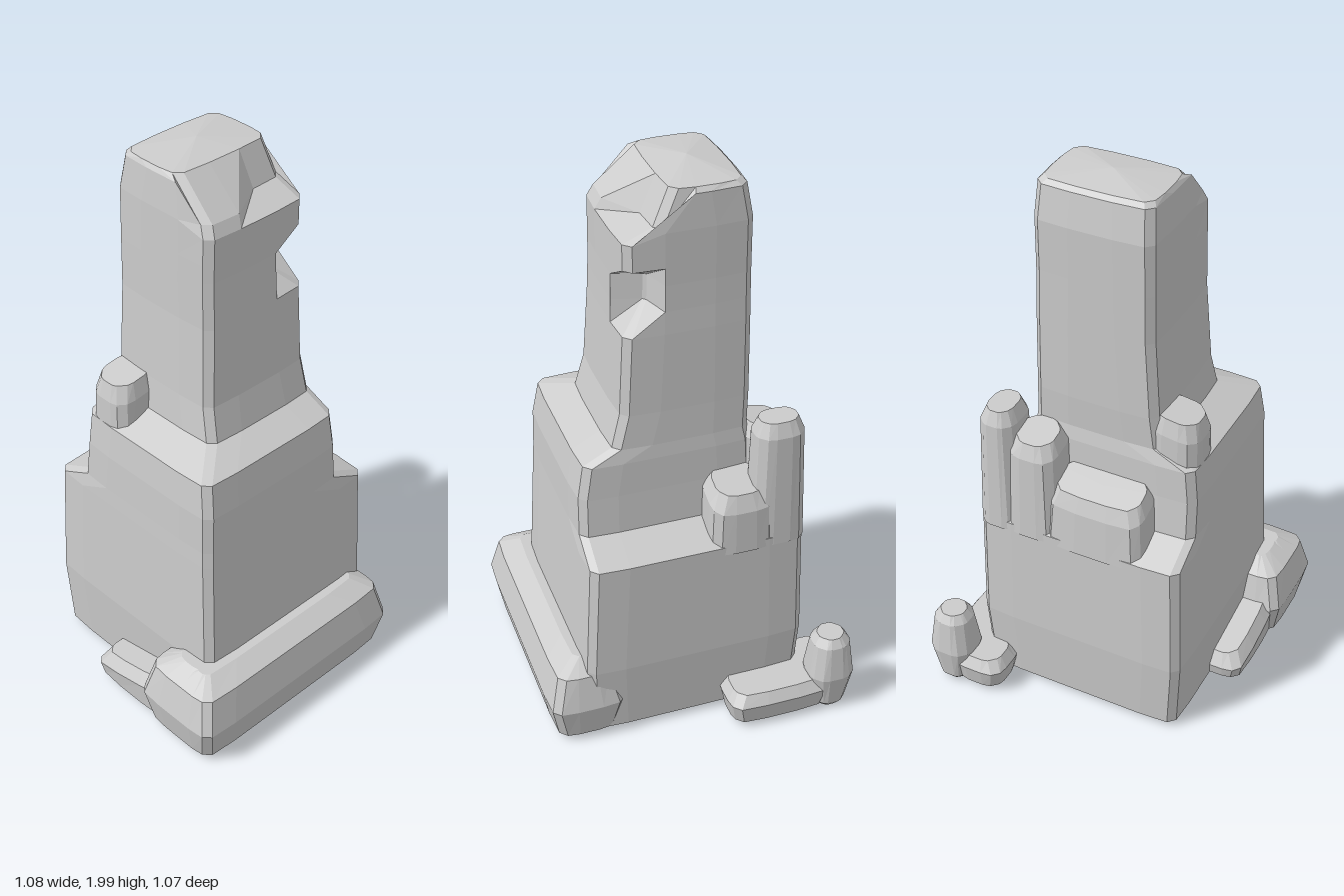
import * as THREE from 'three';

const material = new THREE.MeshStandardMaterial({ color: 0xcccccc, flatShading: true, side: THREE.DoubleSide });

// Rounded rectangle in plan, four points per corner, counter-clockwise from above.
// o.xBack / o.yRight skew the +x side, o.notch bites into the (+x, -z) corner.
function ring([x0, x1, z0, z1, y], o = {}) {
  const w = x1 - x0, l = z1 - z0;
  const c = o.c ?? Math.min(0.025, w * 0.2, l * 0.2);
  const dx = Math.min(0.13, w * 0.33), dz = Math.min(0.13, l * 0.33);
  const bulge = o.bulge ?? 0.006;
  const pts = [];
  [[1, 1], [1, -1], [-1, -1], [-1, 1]].forEach(([sx, sz], k) => {
    let xs = sx > 0 ? x1 : x0;
    const zs = sz > 0 ? z1 : z0;
    if (o.xBack !== undefined && sx > 0 && sz < 0) xs = o.xBack;
    const corner = [
      [xs - sx * dx, zs + sz * bulge], [xs - sx * c, zs],
      [xs, zs - sz * c], [xs + sx * bulge, zs - sz * dz],
    ];
    if (o.notch && sx > 0 && sz < 0) {
      corner[1] = [xs - o.notch, zs + o.notch - 0.01];
      corner[2] = [xs - o.notch + 0.01, zs + o.notch];
    }
    if (k % 2) corner.reverse();
    corner.forEach(([x, z], i) => {
      const outer = k % 2 ? i < 3 : i > 0;
      const py = o.yRight !== undefined && sx > 0 && outer ? o.yRight : y;
      pts.push(new THREE.Vector3(x, py, z));
    });
  });
  return pts;
}

// Skin a stack of rings; optionally close the ends with fans.
function loft(name, rings, capBottom, capTop, rise = 0) {
  const out = [];
  const tri = (...vs) => vs.forEach((v) => out.push(v.x, v.y, v.z));
  const n = rings[0].length;
  const centre = (r) => r.reduce((s, p) => s.add(p), new THREE.Vector3()).divideScalar(n);
  for (let i = 0; i + 1 < rings.length; i++) {
    for (let k = 0; k < n; k++) {
      const a = rings[i][k], b = rings[i][(k + 1) % n];
      const d = rings[i + 1][k], c = rings[i + 1][(k + 1) % n];
      tri(a, b, c);
      tri(a, c, d);
    }
  }
  const bottom = rings[0], top = rings[rings.length - 1];
  const cb = centre(bottom), ct = centre(top);
  ct.y += rise;
  for (let k = 0; k < n; k++) {
    if (capBottom) tri(bottom[(k + 1) % n], bottom[k], cb);
    if (capTop) tri(top[k], top[(k + 1) % n], ct);
  }
  const g = new THREE.BufferGeometry();
  g.setAttribute('position', new THREE.Float32BufferAttribute(out, 3));
  g.computeVertexNormals();
  const mesh = new THREE.Mesh(g, material);
  mesh.name = name;
  return mesh;
}

// Stone block: profile lists [y, inset]; the upper two rings tilt by tx, tz.
function stone(name, [x0, x1, z0, z1], profile, tx = 0, tz = 0) {
  const xc = (x0 + x1) / 2, zc = (z0 + z1) / 2;
  const rings = profile.map(([y, s], i) => {
    const r = ring([x0 + s, x1 - s, z0 + s, z1 - s, y]);
    if (i >= profile.length - 2) r.forEach((p) => { p.y += tx * (p.x - xc) + tz * (p.z - zc); });
    return r;
  });
  return loft(name, rings, true, true);
}

export function createModel() {
  const group = new THREE.Group();
  group.name = 'ruinedPillar';

  // Hollow shaft: bottom rim, wide body, two ledges, column, notch, broken top
  group.add(loft('shaft', [
    ring([-0.28, 0.3, -0.3, 0.3, 0.01]),
    ring([-0.34, 0.36, -0.34, 0.35, 0.01]),
    ring([-0.372, 0.39, -0.365, 0.375, 0.035]),
    ring([-0.385, 0.4, -0.38, 0.39, 0.3]),
    ring([-0.375, 0.378, -0.375, 0.375, 0.73]),
    ring([-0.25, 0.375, -0.25, 0.372, 0.79]),
    ring([-0.235, 0.372, -0.24, 0.368, 0.93]),
    ring([-0.23, 0.352, -0.235, 0.355, 1.05]),
    ring([-0.22, 0.25, -0.23, 0.235, 1.1]),
    ring([-0.225, 0.22, -0.225, 0.222, 1.22]),
    ring([-0.225, 0.205, -0.22, 0.205, 1.5]),
    ring([-0.225, 0.202, -0.217, 0.204, 1.58], { notch: 0.1 }),
    ring([-0.225, 0.2, -0.215, 0.203, 1.67], { notch: 0.1 }),
    ring([-0.225, 0.2, -0.215, 0.202, 1.73]),
    ring([-0.225, 0.2, -0.215, 0.2, 1.85], { yRight: 1.82 }),
    ring([-0.205, 0.18, -0.21, 0.19, 1.965], { yRight: 1.86, xBack: 0.1 }),
    ring([-0.19, 0.045, -0.195, 0.18, 1.98]),
  ], false, true, 0.02));

  // Broken wall steps climbing towards the back right corner
  const steps = [[0.17, 0.365, 0.81, 0], [-0.12, 0.235, 0.945, 0.35], [-0.27, -0.085, 1.09, 0.2], [-0.375, -0.235, 1.17, 0]];
  steps.slice(1).forEach(([z0, z1, top, tilt]) => group.add(stone('wallStep',
    [-0.38, -0.2, z0, z1], [[0.7, 0], [top - 0.05, 0.01], [top, 0.03]], tilt)));
  group.add(stone('backStep', [-0.27, -0.05, -0.38, -0.2], [[0.7, 0], [0.89, 0.005], [0.94, 0.03]], 0, 0.35));
  group.add(stone('frontStep', [-0.22, -0.045, 0.17, 0.36], [[0.9, 0.005], [1.16, 0.01], [1.22, 0.025]], 0, -0.15));

  // Plinth remains along the left side and front
  const plinth = [[0.01, 0.06], [0.035, 0.025], [0.16, 0], [0.285, 0.03], [0.325, 0.1]];
  group.add(stone('sidePlinth', [0.27, 0.53, -0.39, 0.525], plinth));
  group.add(stone('frontPlinth', [0.19, 0.5, 0.27, 0.525], plinth));
  group.add(stone('lowFrontSlab', [-0.08, 0.28, 0.3, 0.495],
    [[0.01, 0.04], [0.035, 0.01], [0.12, 0], [0.165, 0.03]], 0.22));

  // Fallen corner stone with its low slabs
  const slab = [[0.01, 0.04], [0.035, 0.015], [0.11, 0], [0.15, 0.025]];
  group.add(stone('cornerStone', [-0.535, -0.385, -0.53, -0.38],
    [[0.01, 0.04], [0.035, 0.02], [0.16, 0], [0.29, 0.015], [0.32, 0.035]]));
  group.add(stone('lowBackSlab', [-0.45, -0.085, -0.52, -0.33], slab));
  group.add(stone('lowSideSlab', [-0.52, -0.34, -0.45, -0.255], slab));
  return group;
}
